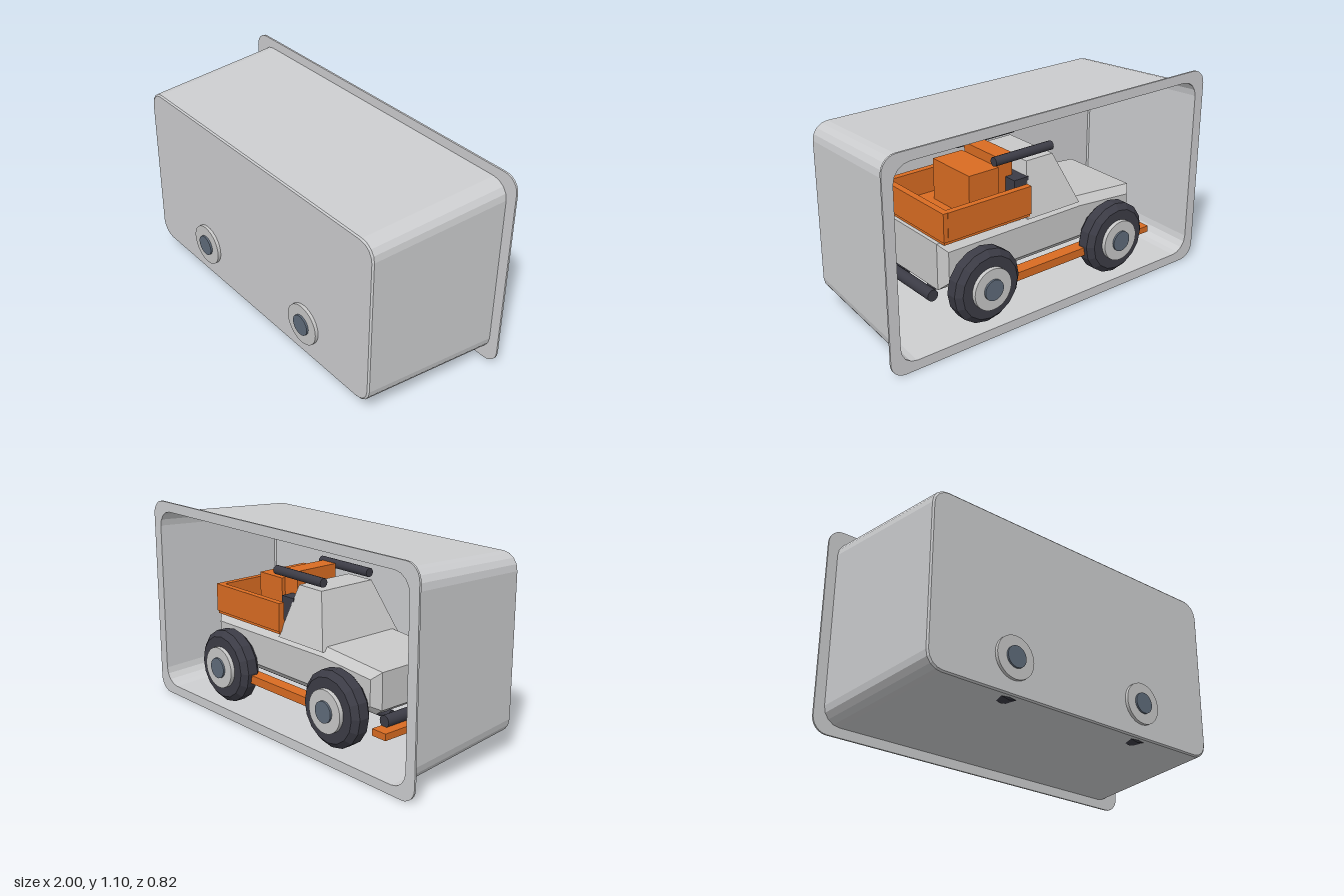
import * as THREE from 'three';

const mat = (name, color, side = THREE.FrontSide) => {
  const m = new THREE.MeshStandardMaterial({ color, side });
  m.name = name;
  return m;
};

// Rounded rectangle outline, the same point count for every size
function roundedOutline(hw, hh, cy, r, segs = 4) {
  const pts = [];
  [[1, 1], [-1, 1], [-1, -1], [1, -1]].forEach(([sx, sy], q) => {
    for (let i = 0; i <= segs; i++) {
      const a = (q + i / segs) * Math.PI / 2;
      pts.push(new THREE.Vector2(sx * (hw - r) + r * Math.cos(a), cy + sy * (hh - r) + r * Math.sin(a)));
    }
  });
  return pts;
}

// Skin between outlines placed along z, faceted
function loft(rings) {
  const pos = [];
  const n = rings[0].pts.length;
  for (let k = 0; k < rings.length - 1; k++) {
    for (let i = 0; i < n; i++) {
      const j = (i + 1) % n, A = rings[k], B = rings[k + 1];
      const v = (R, q) => [R.pts[q].x, R.pts[q].y, R.z];
      pos.push(...v(A, i), ...v(A, j), ...v(B, j), ...v(A, i), ...v(B, j), ...v(B, i));
    }
  }
  const g = new THREE.BufferGeometry();
  g.setAttribute('position', new THREE.Float32BufferAttribute(pos, 3));
  g.computeVertexNormals();
  return g;
}

// Box given by its limits on each axis
function boxGeo(x0, x1, y0, y1, z0, z1) {
  return new THREE.BoxGeometry(x1 - x0, y1 - y0, z1 - z0)
    .translate((x0 + x1) / 2, (y0 + y1) / 2, (z0 + z1) / 2);
}

export function createModel() {
  const shellMat = mat('shellGrey', 0xcccdcf, THREE.DoubleSide);
  const bodyMat = mat('bodyGrey', 0xc8c8c8);
  const orange = mat('orange', 0xd96c22);
  const dark = mat('darkRubber', 0x3c3c46);
  const steel = mat('blueSteel', 0x5f6b7a);

  const model = new THREE.Group();
  const add = (parent, name, geo, m) => {
    const mesh = new THREE.Mesh(geo, m);
    mesh.name = name;
    parent.add(mesh);
    return mesh;
  };

  // Tapered display shell, open at the back
  const shell = new THREE.Group();
  shell.name = 'displayShell';
  model.add(shell);
  const face = roundedOutline(0.897, 0.449, 0.5525, 0.08);
  add(shell, 'shellWalls', loft([
    { z: -0.38, pts: roundedOutline(0.945, 0.5, 0.55, 0.09) },
    { z: 0.378, pts: roundedOutline(0.906, 0.457, 0.5525, 0.085) },
    { z: 0.385, pts: face },
  ]), shellMat);
  add(shell, 'shellFace', new THREE.ShapeGeometry(new THREE.Shape(face)).translate(0, 0, 0.385), shellMat);
  const rim = new THREE.Shape(roundedOutline(1, 0.55, 0.55, 0.08, 6));
  rim.holes.push(new THREE.Path(roundedOutline(0.943, 0.498, 0.55, 0.09).reverse()));
  add(shell, 'shellFlange', new THREE.ExtrudeGeometry(rim, { depth: 0.01, bevelEnabled: false })
    .translate(0, 0, -0.385), shellMat);

  // Truck, with its nose toward -x
  const truck = new THREE.Group();
  truck.name = 'truck';
  model.add(truck);

  // Lower body with chamfered edges and sloping hood
  const side = new THREE.Shape([
    [0.62, 0.27], [0.62, 0.515], [-0.25, 0.52], [-0.63, 0.49], [-0.63, 0.3], [-0.59, 0.27],
  ].map(([x, y]) => new THREE.Vector2(x, y)));
  add(truck, 'lowerBody', new THREE.ExtrudeGeometry(side, {
    depth: 0.45, bevelEnabled: true, bevelThickness: 0.04, bevelSize: 0.04, bevelOffset: -0.04, bevelSegments: 1,
  }).translate(0, 0, -0.225), bodyMat);

  // Cab narrowing to the roof
  const cab = boxGeo(-0.25, 0.09, 0.5, 0.77, -0.26, 0.26);
  const p = cab.attributes.position;
  for (let i = 0; i < p.count; i++) {
    if (p.getY(i) > 0.6) {
      p.setX(i, p.getX(i) < 0 ? -0.14 : 0.03);
      p.setZ(i, Math.sign(p.getZ(i)) * 0.17);
    }
  }
  const cabFlat = cab.toNonIndexed();
  cabFlat.computeVertexNormals();
  add(truck, 'cab', cabFlat, bodyMat);
  add(truck, 'cabRearPanel', boxGeo(0.04, 0.13, 0.52, 0.7, -0.2, 0.2), dark);

  // Cargo bed and its boxes
  const bed = new THREE.Group();
  bed.name = 'cargoBed';
  truck.add(bed);
  add(bed, 'bedFloor', boxGeo(0.08, 0.6, 0.515, 0.55, -0.26, 0.26), orange);
  add(bed, 'bedTailgate', boxGeo(0.57, 0.605, 0.53, 0.68, -0.265, 0.265), orange);
  for (const s of [-1, 1]) {
    add(bed, 'bedSide', boxGeo(0.075, 0.58, 0.53, 0.68, s * 0.25 - 0.017, s * 0.25 + 0.017), orange);
  }
  add(bed, 'cargoBox', boxGeo(0.19, 0.37, 0.54, 0.77, -0.15, 0.15), orange);
  add(bed, 'tallCargoBox', boxGeo(0.09, 0.19, 0.54, 0.82, -0.13, 0.13), orange);

  // Rails, steps, wheels: repeated on both sides
  const tireProfile = [[0.08, 0.265], [0.165, 0.265], [0.195, 0.295], [0.195, 0.352], [0.165, 0.38], [0.08, 0.38]]
    .map(([r, z]) => new THREE.Vector2(r, z));
  const tireGeo = new THREE.LatheGeometry(tireProfile, 16).rotateX(Math.PI / 2).toNonIndexed();
  tireGeo.computeVertexNormals();
  const disc = (r, z0, z1) => new THREE.CylinderGeometry(r, r, z1 - z0, 32)
    .rotateX(Math.PI / 2).translate(0, 0, (z0 + z1) / 2);
  const bar = (r, len) => new THREE.CylinderGeometry(r, r, len, 12).rotateZ(Math.PI / 2);
  for (const s of [-1, 1]) {
    add(truck, 'roofRail', bar(0.024, 0.365), dark).position.set(0.042, 0.81, s * 0.156);
    add(truck, 'chassisRail', bar(0.025, 1.22), dark).position.set(0, 0.25, s * 0.14);
    add(truck, 'sideStep', boxGeo(-0.28, 0.28, 0.225, 0.27, s * 0.295 - 0.035, s * 0.295 + 0.035), orange);
    for (const x of [-0.42, 0.42]) {
      const wheel = new THREE.Group();
      wheel.name = 'wheel';
      wheel.position.set(x, 0.28, 0);
      if (s < 0) wheel.rotation.y = Math.PI;
      add(wheel, 'tire', tireGeo, dark);
      add(wheel, 'wheelDisc', disc(0.11, 0.27, 0.402), bodyMat);
      add(wheel, 'hubCap', disc(0.055, 0.4, 0.412), steel);
      truck.add(wheel);
    }
  }

  // Axles and bumpers across the truck
  for (const x of [-0.42, 0.42]) {
    add(truck, 'axle', disc(0.03, -0.28, 0.28), dark).position.set(x, 0.28, 0);
  }
  for (const x of [-0.66, 0.66]) {
    add(truck, 'bumper', disc(0.03, -0.24, 0.24), dark).position.set(x, 0.26, 0);
  }
  add(truck, 'frontSkidPlate', boxGeo(-0.73, -0.64, 0.2, 0.235, -0.3, 0.3), orange);

  return model;
}
